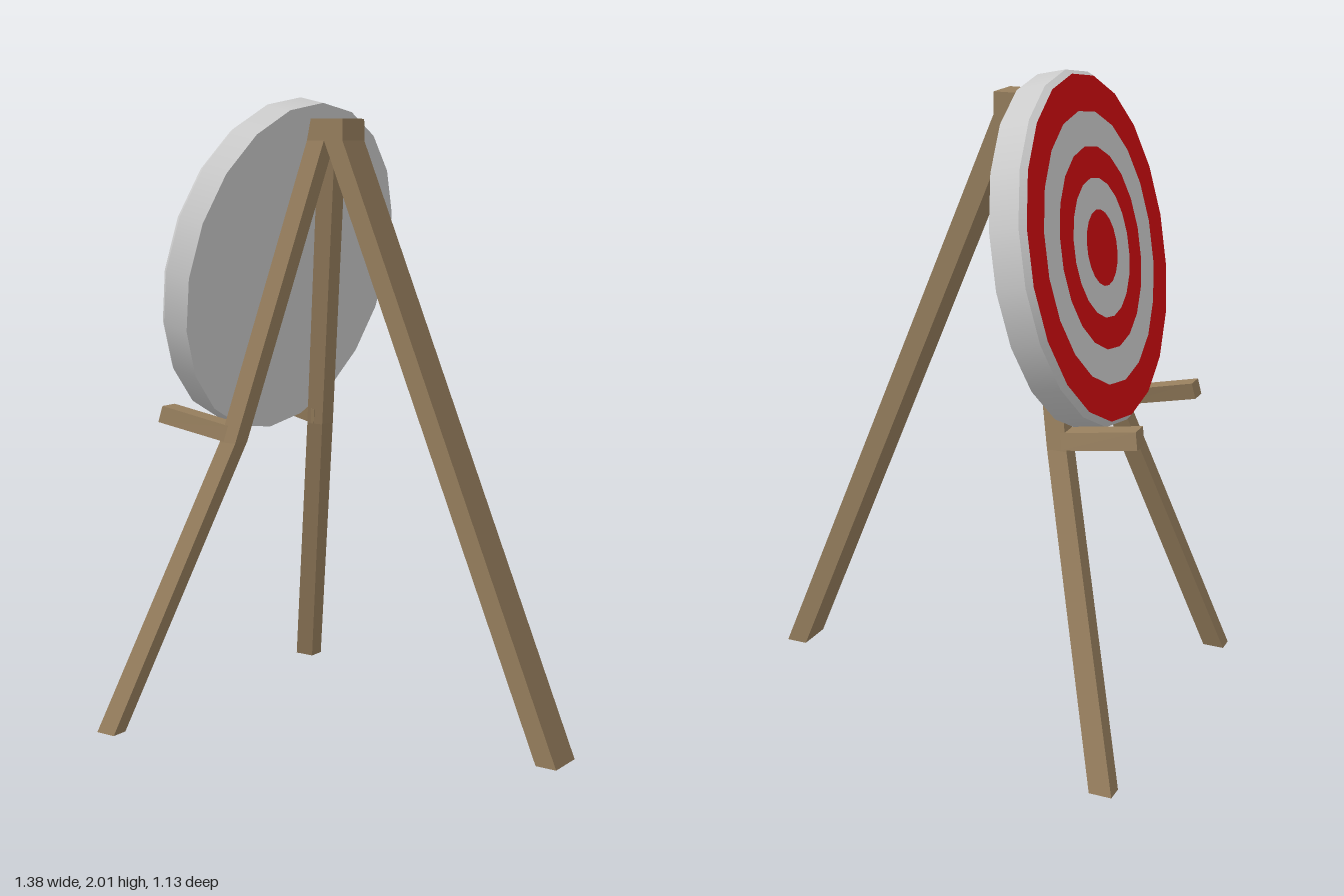
import * as THREE from 'three';

const wood = new THREE.MeshStandardMaterial({ color: 0x977f5e, flatShading: true });
const grey = new THREE.MeshStandardMaterial({ color: 0xcccccc });
const red = new THREE.MeshStandardMaterial({ color: 0xd00c10 });

// Four-sided beam lofted upward through sections.
// A section is two edges [x, y, zLow, zHigh]: the -x edge and the +x edge.
function beam(name, sections, side = 1) {
  const rings = sections.map((section) => {
    const [l, r] = section.map(([x, y, z0, z1]) => (side > 0 ? [x, y, z0, z1] : [x, y, -z1, -z0]));
    return [[l[0], l[1], l[3]], [r[0], r[1], r[3]], [r[0], r[1], r[2]], [l[0], l[1], l[2]]];
  });
  const pos = [];
  const quad = (a, b, c, d) => pos.push(...a, ...b, ...c, ...a, ...c, ...d);
  for (let i = 0; i < rings.length - 1; i++) {
    for (let k = 0; k < 4; k++) {
      const n = (k + 1) % 4;
      quad(rings[i][k], rings[i][n], rings[i + 1][n], rings[i + 1][k]);
    }
  }
  const [b, t] = [rings[0], rings[rings.length - 1]];
  quad(b[3], b[2], b[1], b[0]);
  quad(t[0], t[1], t[2], t[3]);
  const geometry = new THREE.BufferGeometry();
  geometry.setAttribute('position', new THREE.Float32BufferAttribute(pos, 3));
  geometry.computeVertexNormals();
  const mesh = new THREE.Mesh(geometry, wood);
  mesh.name = name;
  return mesh;
}

// Horizontal rectangular section
const level = (y, x0, x1, z0, z1) => [[x0, y, z0, z1], [x1, y, z0, z1]];

// One band of the round target, turned about its axis
function band(name, r0, y0, r1, y1, material) {
  const points = [new THREE.Vector2(r0, y0), new THREE.Vector2(r1, y1)];
  const mesh = new THREE.Mesh(new THREE.LatheGeometry(points, 20), material);
  mesh.name = name;
  return mesh;
}

function createTarget() {
  const target = new THREE.Group();
  target.name = 'target';
  const R = 0.535, shoulder = 0.09, face = 0.108;
  const radii = [0.52, 0.41, 0.305, 0.21, 0.115, 0];
  target.add(
    band('targetBack', 0, 0, R, 0, grey),
    band('targetRim', R, 0, R, shoulder, grey),
    band('targetBevel', R, shoulder, radii[0], face, grey)
  );
  // Alternating red and grey rings
  for (let i = 0; i < 5; i++) {
    target.add(band('ring' + (i + 1), radii[i], face, radii[i + 1], face, i % 2 ? grey : red));
  }
  target.position.set(-0.31, 1.463, 0);
  target.rotation.z = 1.363;
  return target;
}

export function createModel() {
  const model = new THREE.Group();
  model.name = 'archeryTarget';

  // Rear leg and the block joining all three legs
  model.add(
    beam('rearLeg', [level(0, 0.62, 0.69, -0.06, 0.06), level(1.87, -0.155, -0.085, -0.06, 0.06)]),
    beam('topBlock', [level(1.87, -0.22, -0.085, -0.06, 0.06), level(1.937, -0.205, -0.085, -0.06, 0.06)])
  );

  // Bent, splayed legs on the target side, each with a supporting peg
  for (const side of [1, -1]) {
    model.add(
      beam('targetLeg', [
        level(0, -0.695, -0.625, 0.51, 0.565),
        level(0.925, -0.418, -0.356, 0.205, 0.267),
        level(1.87, -0.22, -0.155, 0, 0.06),
      ], side),
      beam('peg', [
        [[-0.648, 0.973, 0.235, 0.295], [-0.39, 0.925, 0.203, 0.265]],
        [[-0.638, 1.025, 0.224, 0.285], [-0.38, 0.975, 0.192, 0.254]],
      ], side)
    );
  }

  model.add(createTarget());
  return model;
}
